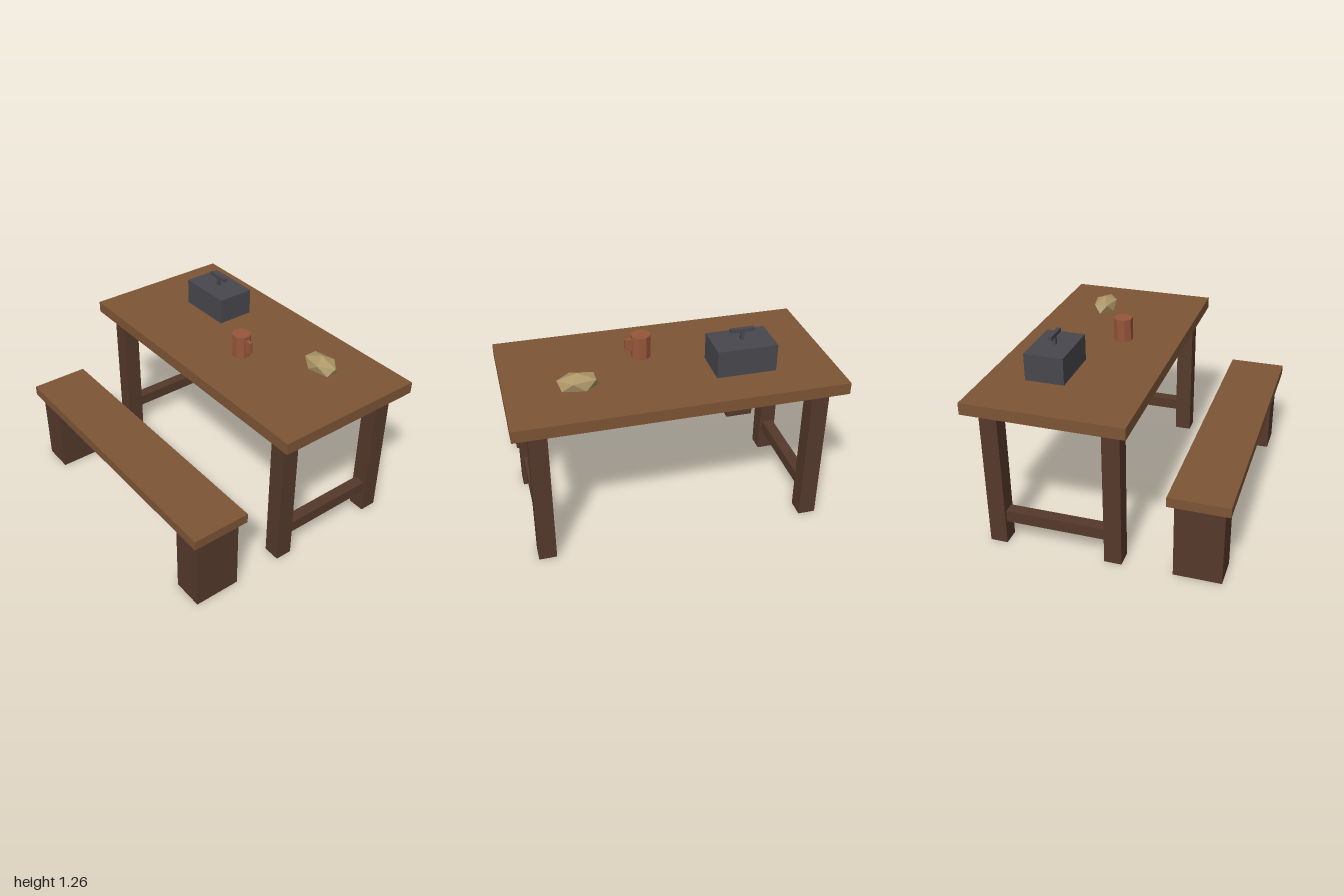
import * as THREE from 'three';

const material = (name, color) => {
  const m = new THREE.MeshStandardMaterial({ color });
  m.name = name;
  return m;
};

export function createModel() {
  const plankWood = material('plank wood', 0x7d5535);
  const darkWood = material('dark wood', 0x55392b);
  const iron = material('dark iron', 0x47474d);
  const clay = material('red clay', 0x96563a);
  const crust = material('bread crust', 0xac9666);

  const group = (name, parent) => {
    const g = new THREE.Group();
    g.name = name;
    parent.add(g);
    return g;
  };
  const add = (parent, name, geometry, mat) => {
    const mesh = new THREE.Mesh(geometry, mat);
    mesh.name = name;
    parent.add(mesh);
    return mesh;
  };
  // Box given by its limits on each axis
  const box = (parent, name, mat, [x0, x1], [y0, y1], [z0, z1]) => {
    const g = new THREE.BoxGeometry(x1 - x0, y1 - y0, z1 - z0);
    add(parent, name, g, mat).position.set((x0 + x1) / 2, (y0 + y1) / 2, (z0 + z1) / 2);
  };

  const model = new THREE.Group();
  model.name = 'tableAndBench';
  const table = group('table', model);
  const bench = group('bench', model);

  // Table and bench planks
  box(table, 'tableTop', plankWood, [-1, 1], [0.94, 1.015], [-0.795, 0.205]);
  box(bench, 'benchSeat', plankWood, [-0.9375, 0.9375], [0.507, 0.57], [0.42, 0.795]);

  // Supports, mirrored left and right
  for (const [side, s] of [['left', 1], ['right', -1]]) {
    const span = (centre, width) => [s * centre - width / 2, s * centre + width / 2];
    box(table, side + 'FrontLeg', darkWood, span(0.85, 0.11), [0, 0.94], [0.028, 0.138]);
    box(table, side + 'BackLeg', darkWood, span(0.85, 0.11), [0, 0.94], [-0.725, -0.613]);
    box(table, side + 'Stretcher', darkWood, span(0.85, 0.075), [0.15, 0.227], [-0.613, 0.028]);
    box(bench, side + 'BenchLeg', darkWood, span(0.802, 0.2), [0, 0.5], [0.458, 0.758]);
  }

  // Iron chest with a T handle
  const chest = group('chest', model);
  box(chest, 'chestBody', iron, [-0.625, -0.253], [1.015, 1.188], [-0.545, -0.296]);
  box(chest, 'handleStem', iron, [-0.452, -0.43], [1.188, 1.242], [-0.43, -0.41]);
  box(chest, 'handleBar', iron, [-0.515, -0.365], [1.24, 1.263], [-0.432, -0.408]);

  // Eight-sided mug with flats facing the axes
  const mug = group('mug', model);
  const cup = new THREE.CylinderGeometry(0.062, 0.062, 0.15, 8).rotateY(Math.PI / 8).toNonIndexed();
  cup.computeVertexNormals();
  add(mug, 'mugBody', cup, clay).position.set(0.123, 1.09, -0.17);
  box(mug, 'mugHandle', clay, [0.17, 0.223], [1.064, 1.141], [-0.181, -0.157]);

  // Faceted loaf: icosahedron turned onto its pole, flattened and sunk a little
  const loaf = new THREE.IcosahedronGeometry(1, 0)
    .rotateX(-Math.atan((1 + Math.sqrt(5)) / 2))
    .rotateY(Math.PI / 2)
    .scale(0.14, 0.061, 0.084);
  loaf.computeVertexNormals();
  add(model, 'breadLoaf', loaf, crust).position.set(0.565, 1.058, -0.447);

  return model;
}
